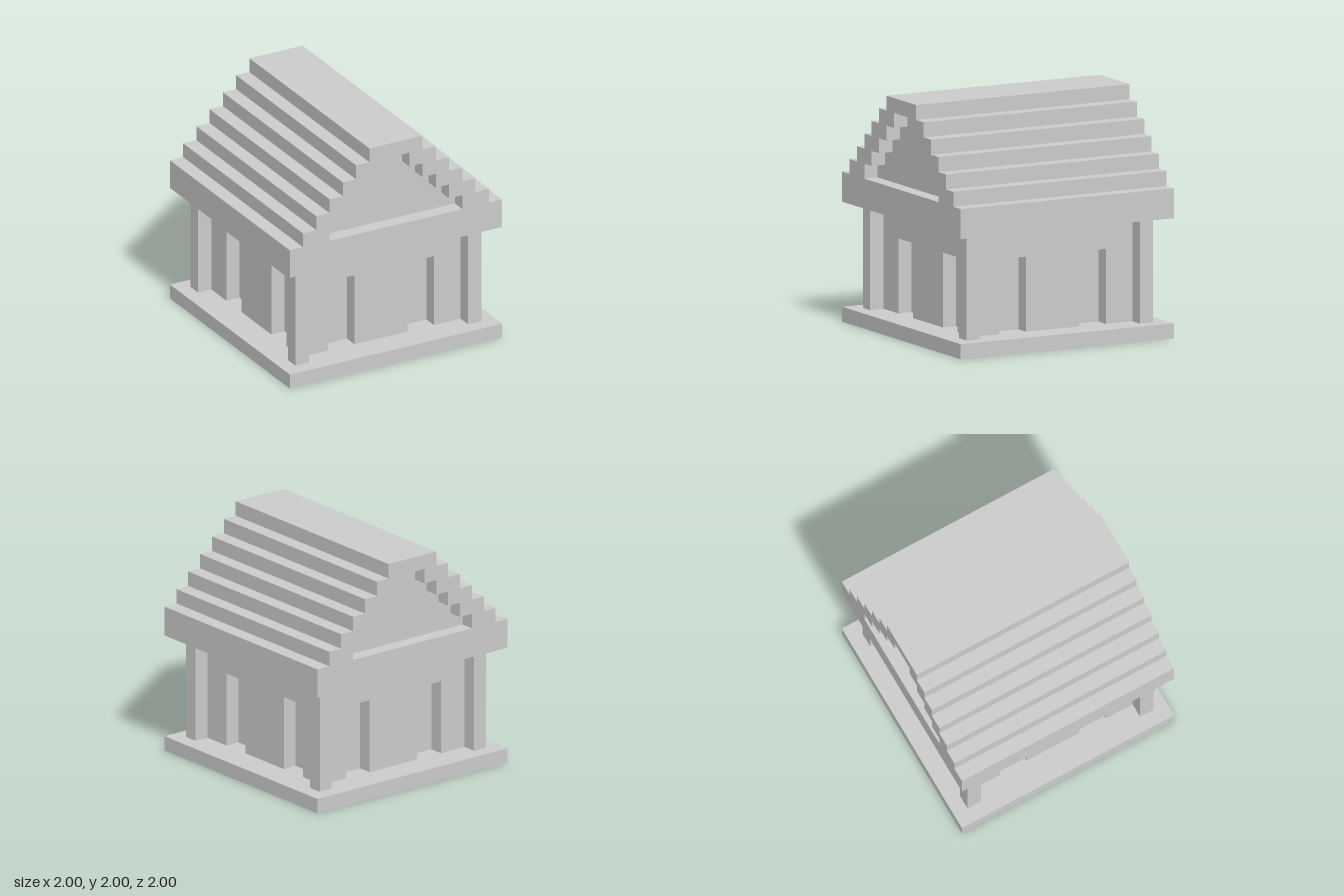
import * as THREE from 'three';

const U = 0.125; // building module

export function createModel() {
  const model = new THREE.Group();
  const mat = new THREE.MeshStandardMaterial({ color: 0xcccccc, flatShading: true });

  const add = (name, geometry, x = 0, y = 0, z = 0) => {
    const mesh = new THREE.Mesh(geometry, mat);
    mesh.name = name;
    mesh.position.set(x, y, z);
    model.add(mesh);
    return mesh;
  };
  const box = (name, w, h, d, x, y, z) => add(name, new THREE.BoxGeometry(w, h, d), x, y + h / 2, z);
  const extrude = (shape, depth) => new THREE.ExtrudeGeometry(shape, { depth, bevelEnabled: false });

  // Symmetrical stepped gable outline, one module narrower per step
  const steppedPoints = (halfWidth, bottom, firstHeight, steps) => {
    const right = [];
    let y = bottom;
    for (let i = 0; i < steps; i++) {
      const x = halfWidth - i * U;
      right.push(new THREE.Vector2(x, y));
      y += i === 0 ? firstHeight : U;
      right.push(new THREE.Vector2(x, y));
    }
    const left = right.map(p => new THREE.Vector2(-p.x, p.y)).reverse();
    return [...right, ...left];
  };

  // Base slab
  box('base', 2, U, 2, 0, 0, 0);

  // Lower walls: square plan with two door niches on every side
  const side = [[-6, 6], [-4, 6], [-4, 5], [-2, 5], [-2, 6], [2, 6], [2, 5], [4, 5], [4, 6]];
  const plan = [];
  for (let k = 0; k < 4; k++) {
    for (const [x, y] of side) {
      plan.push(new THREE.Vector2(x * U, y * U).rotateAround(new THREE.Vector2(), -k * Math.PI / 2));
    }
  }
  const walls = extrude(new THREE.Shape(plan), 5 * U);
  walls.rotateX(-Math.PI / 2);
  add('wallsWithDoorNiches', walls, 0, U, 0);

  // Wall band above the doors
  box('upperWalls', 12 * U, 2 * U, 12 * U, 0, 6 * U, 0);

  // Corner pillars
  for (const sx of [-1, 1]) {
    for (const sz of [-1, 1]) {
      box('cornerPillar', U, 7 * U, U, sx * 6.5 * U, U, sz * 6.5 * U);
    }
  }

  // Stepped roof: solid middle, with a recessed gable panel at each end
  const outline = steppedPoints(1, 1, 2 * U, 7);
  add('roof', extrude(new THREE.Shape(outline), 14 * U), 0, 0, -7 * U);

  const frame = new THREE.Shape(outline);
  frame.holes.push(new THREE.Path(steppedPoints(5 * U, 1.25, U, 5)));
  add('frontGableFrame', extrude(frame, U), 0, 0, 7 * U);
  add('backGableFrame', extrude(frame, U), 0, 0, -8 * U);

  return model;
}
